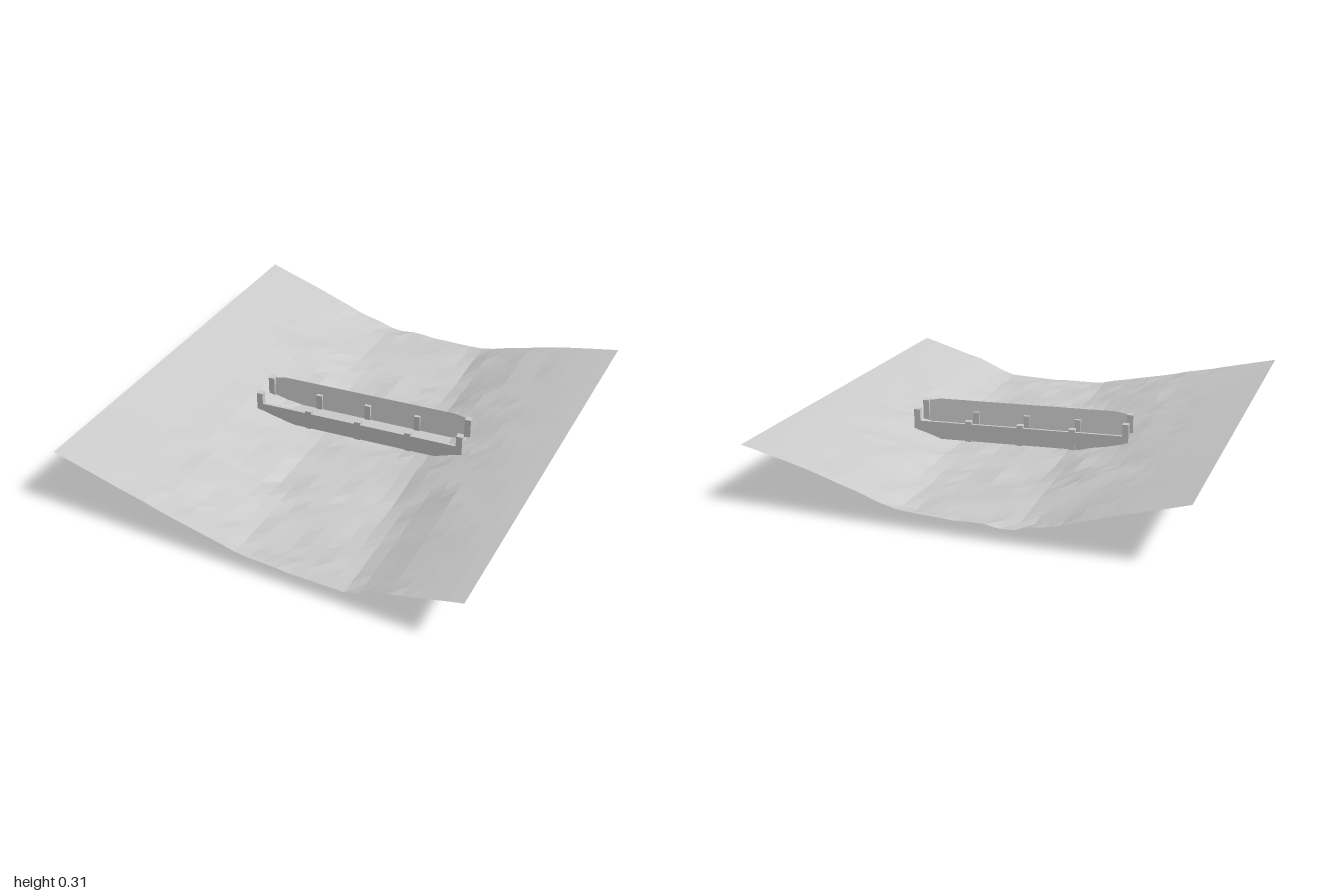
import * as THREE from 'three';

const solid = new THREE.MeshStandardMaterial({ color: 0xcccccc, flatShading: true });
const sheet = new THREE.MeshStandardMaterial({ color: 0xcccccc, flatShading: true, side: THREE.DoubleSide });

function add(parent, name, geometry, x = 0, y = 0, z = 0, material = solid) {
  const mesh = new THREE.Mesh(geometry, material);
  mesh.name = name;
  mesh.position.set(x, y, z);
  parent.add(mesh);
  return mesh;
}

function outline(points) {
  return new THREE.Shape(points.map(([x, y]) => new THREE.Vector2(x, y)));
}

// Repeatable noise between -1 and 1
function hash(i, j) {
  const s = Math.sin(i * 127.1 + j * 311.7) * 43758.5453;
  return (s - Math.floor(s)) * 2 - 1;
}
function noise(x, z) {
  const i = Math.floor(x), j = Math.floor(z);
  const u = THREE.MathUtils.smoothstep(x - i, 0, 1), v = THREE.MathUtils.smoothstep(z - j, 0, 1);
  const { lerp } = THREE.MathUtils;
  return lerp(lerp(hash(i, j), hash(i + 1, j), u), lerp(hash(i, j + 1), hash(i + 1, j + 1), u), v);
}

// Valley whose bed drifts towards +x at the front, with even banks up to the edges
function groundHeight(x, z) {
  const bed = 0.07, bedHalf = 0.27;
  const centre = 0.095 + 0.125 * z;
  const right = x > centre;
  const edge = right ? 1 - centre : 1 + centre;
  const rise = (right ? 0.263 - 0.022 * z : 0.293 + 0.012 * z) - bed;
  const t = Math.max(0, (Math.abs(x - centre) - bedHalf) / (edge - bedHalf));
  const bank = rise * (right ? t * (1.25 - 0.25 * t) : t);
  const rough = 1 - THREE.MathUtils.smoothstep(t, 0.1, 0.9);
  return bed + bank + rough * (0.009 * noise(x * 4 + 9, z * 6 + 9) + 0.009 * noise(x * 9 + 40, z * 13 + 40));
}

function buildGround() {
  const geometry = new THREE.PlaneGeometry(2, 2, 30, 30).rotateX(-Math.PI / 2);
  const p = geometry.attributes.position;
  for (let i = 0; i < p.count; i++) p.setY(i, groundHeight(p.getX(i), p.getZ(i)));
  geometry.computeVertexNormals();
  return geometry;
}

const half = 0.508;

// Railing whose inner side faces +z
function buildRailing() {
  const railing = new THREE.Group();
  railing.name = 'railing';

  // Tall inner panel with chamfered ends, leaning outwards
  const panel = new THREE.ShapeGeometry(outline([[-half, 0], [half, 0], [half, 0.132],
    [half - 0.07, 0.146], [-half + 0.07, 0.146], [-half, 0.132]]));
  add(railing, 'innerPanel', panel.rotateX(-0.12), 0, 0.1, 0.011);

  // Low outer wall
  add(railing, 'outerWall', new THREE.BoxGeometry(2 * half, 0.085, 0.013), 0, 0.138, -0.0075);

  for (let i = -2; i <= 2; i++) {
    const top = Math.abs(i) === 2 ? 0.238 : 0.193;
    add(railing, 'post', new THREE.BoxGeometry(0.03, top - 0.092, 0.03), i * 0.254, (top + 0.092) / 2, 0);
  }
  return railing;
}

function buildBridge() {
  const bridge = new THREE.Group();
  bridge.name = 'bridge';

  add(bridge, 'deck', new THREE.PlaneGeometry(2 * half, 0.14).rotateX(-Math.PI / 2), 0, 0.113, 0);

  for (const side of [-1, 1]) {
    // Abutment leg curving inwards at the top
    const leg = [[half + 0.004, 0], [half + 0.004, 0.03], [half - 0.004, 0.092], [half - 0.08, 0.092]];
    for (let i = 0; i <= 6; i++) {
      const a = (i / 6) * Math.PI / 2;
      leg.push([half - 0.08 + 0.07 * Math.sin(a), 0.012 + 0.07 * Math.cos(a)]);
    }
    leg.push([half - 0.01, 0]);
    const legShape = outline(leg.map(([x, y]) => [x * side, y]));
    const legGeometry = new THREE.ExtrudeGeometry(legShape, { depth: 0.112, bevelEnabled: false });
    add(bridge, 'abutment', legGeometry, 0, 0, -0.056);
    add(bridge, 'endBeam', new THREE.BoxGeometry(0.02, 0.02, 0.145), side * half, 0.129, 0);

    const railing = buildRailing();
    railing.position.z = side * 0.072;
    railing.rotation.y = side > 0 ? Math.PI : 0;
    bridge.add(railing);
  }
  return bridge;
}

export function createModel() {
  const model = new THREE.Group();
  model.name = 'valleyBridge';
  add(model, 'ground', buildGround(), 0, 0, 0, sheet);
  const bridge = buildBridge();
  bridge.position.set(0.035, 0, -0.042);
  bridge.rotation.y = 0.109;
  model.add(bridge);
  return model;
}
